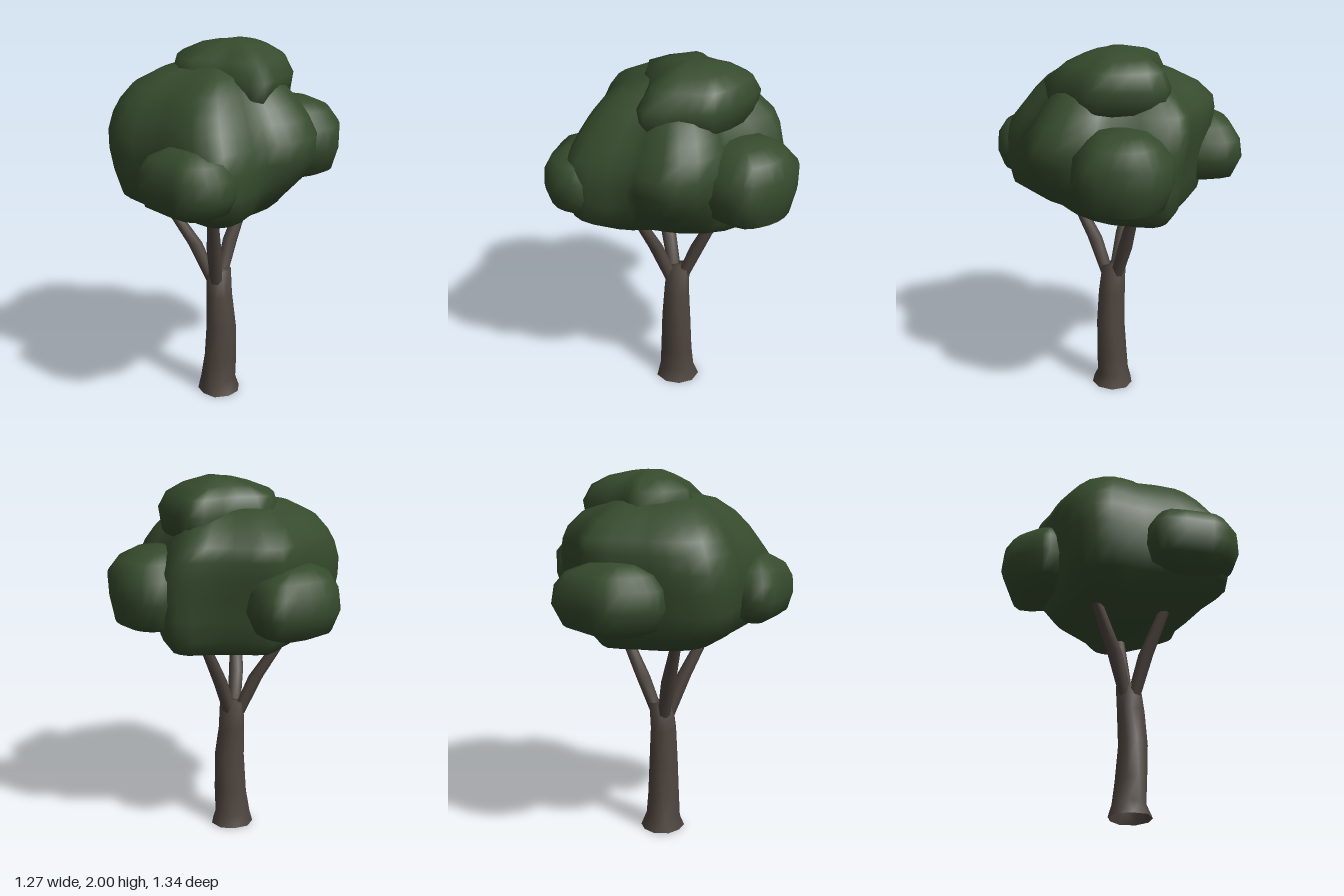
import * as THREE from 'three';
import { mergeVertices } from 'three/addons/utils/BufferGeometryUtils.js';

const V = (x, y, z) => new THREE.Vector3(x, y, z);

// Closed skin over equally sized rings of points, listed from bottom to top
function skin(rings) {
  const n = rings[0].length, index = [];
  for (let i = 0; i < rings.length - 1; i++) {
    for (let j = 0; j < n; j++) {
      const a = i * n + j, b = i * n + (j + 1) % n;
      index.push(a, a + n, b, b, a + n, b + n);
    }
  }
  let geo = new THREE.BufferGeometry().setFromPoints(rings.flat());
  geo.setIndex(index);
  geo = mergeVertices(geo, 1e-5);
  geo.computeVertexNormals();
  return geo;
}

// Horizontal ring around a centre, turned a little for a gnarled look
function ring(x, y, z, rx, rz, sides, turn, wobble = 0) {
  return Array.from({ length: sides }, (_, j) => {
    const t = j / sides * Math.PI * 2 + turn;
    const k = 1 + wobble * Math.sin(j * 2.4 + 1);
    return V(x + Math.cos(t) * rx * k, y, z + Math.sin(t) * rz * k);
  });
}

// Leaf mass: plan outline (x, z) shrunk towards its centre at each level.
// A level is y, the scale towards +x, -x, +z and -z (one scale serves all),
// and an optional undercut of the +x +z corner.
function leafMass([cx, cz], plan, levels, sides) {
  const curve = new THREE.CatmullRomCurve3(plan.map(([x, z]) => V(x - cx, 0, z - cz)), true);
  const outline = curve.getPoints(sides).slice(0, sides);
  return skin(levels.map(([y, px, nx = px, pz = px, nz = px, cut = 0]) => outline.map((p) => {
    const corner = p.x > 0 && p.z > 0 ? 2 * p.x * p.z / p.lengthSq() : 0;
    const k = 1 - cut * corner;
    return V(cx + p.x * k * (p.x > 0 ? px : nx), y, cz + p.z * k * (p.z > 0 ? pz : nz));
  })));
}

export function createModel() {
  const group = new THREE.Group();
  const bark = new THREE.MeshStandardMaterial({ color: 0x4e453f, side: THREE.DoubleSide });
  bark.name = 'bark brown';
  const leaf = new THREE.MeshStandardMaterial({ color: 0x364b2d });
  leaf.name = 'leaf green';
  const add = (name, geo, mat) => {
    const mesh = new THREE.Mesh(geo, mat);
    mesh.name = name;
    group.add(mesh);
  };

  // Trunk, flared and open at the foot: x, y, z, rx, rz
  const trunk = [
    [-0.07, 0, 0.025, 0.115, 0.118], [-0.075, 0.07, 0.022, 0.096, 0.09],
    [-0.067, 0.2, 0.03, 0.09, 0.085], [-0.062, 0.4, 0.037, 0.084, 0.079],
    [-0.07, 0.58, 0.028, 0.073, 0.074], [-0.068, 0.73, 0.015, 0.066, 0.066],
    [-0.068, 0.735, 0.015, 0, 0],
  ];
  add('trunk', skin(trunk.map(([x, y, z, rx, rz], i) =>
    ring(x, y, z, rx, rz, 9, i * 0.18, 0.05))), bark);

  // Three branches rising into the crown
  const branches = {
    rightBranch: [[-0.1, 0.66, 0.01], [-0.19, 0.88, -0.03], [-0.32, 1.1, -0.09], [-0.4, 1.25, -0.13]],
    frontBranch: [[-0.09, 0.66, 0.05], [-0.13, 0.88, 0.125], [-0.17, 1.1, 0.235], [-0.18, 1.25, 0.3]],
    leftBranch: [[-0.045, 0.68, 0.0], [0.02, 0.87, -0.045], [0.125, 1.1, -0.09], [0.18, 1.25, -0.12]],
  };
  const widths = [0.036, 0.041, 0.031, 0.024];
  for (const [name, path] of Object.entries(branches)) {
    add(name, skin(path.map(([x, y, z], i) =>
      ring(x, y, z, widths[i], widths[i], 7, i * 0.25))), bark);
  }

  // Main crown, leaning back as it rises and undercut at the front left
  add('mainCrown', leafMass([-0.08, 0.02], [
    [0.37, 0.02], [0.41, 0.2], [0.34, 0.43], [0.17, 0.5], [0.04, 0.5], [-0.14, 0.59],
    [-0.3, 0.6], [-0.41, 0.44], [-0.5, 0.22], [-0.62, 0.06], [-0.63, -0.12], [-0.5, -0.28],
    [-0.36, -0.38], [-0.15, -0.53], [0.02, -0.48], [0.2, -0.4], [0.35, -0.37], [0.42, -0.27],
  ], [
    [1.07, 0], [1.08, 0.36, 0.3, 0.3, 0.3, 0.3], [1.115, 0.82, 0.62, 0.68, 0.73, 0.34],
    [1.2, 0.95, 0.89, 0.95, 0.85, 0.32], [1.32, 1, 0.96, 1, 0.88, 0.16],
    [1.44, 1, 1, 1, 0.92, 0.05], [1.54, 0.97, 1, 0.95, 0.97], [1.63, 0.9, 0.95, 0.83, 0.99],
    [1.7, 0.81, 0.88, 0.74, 0.97], [1.78, 0.68, 0.76, 0.61, 0.82],
    [1.85, 0.47, 0.52, 0.45, 0.57], [1.885, 0.22], [1.89, 0],
  ], 36), leaf);

  // Smaller masses around the crown
  add('topClump', leafMass([0.03, 0], [
    [0.31, 0.13], [0.2, 0.25], [0.03, 0.38], [-0.12, 0.2], [-0.29, 0.04], [-0.19, -0.26],
    [0, -0.23], [0.24, -0.28], [0.31, -0.12],
  ], [
    [1.62, 0], [1.65, 0.6], [1.71, 0.94], [1.83, 1], [1.915, 0.88, 0.94, 0.72, 0.86],
    [1.965, 0.6, 0.55, 0.45, 0.6], [1.99, 0.27], [2, 0],
  ], 20), leaf);
  add('leftClump', leafMass([0.35, -0.04], [
    [0.42, -0.31], [0.52, -0.28], [0.6, -0.19], [0.63, -0.05], [0.6, 0.1], [0.55, 0.19],
    [0.4, 0.235], [0.2, 0.2], [0.12, -0.04], [0.2, -0.25],
  ], [
    [1.225, 0], [1.235, 0.65, 0.65, 0.5, 0.55], [1.27, 0.88, 0.88, 0.74, 0.8], [1.4, 0.97],
    [1.52, 1, 1, 0.92, 0.96], [1.6, 0.8, 0.8, 0.66, 0.72], [1.645, 0.45], [1.66, 0],
  ], 20), leaf);
  add('backClump', leafMass([-0.25, -0.42], [
    [-0.05, -0.25], [-0.3, -0.2], [-0.51, -0.3], [-0.5, -0.42], [-0.41, -0.6],
    [-0.21, -0.66], [-0.03, -0.66], [0.02, -0.45],
  ], [
    [1.2, 0], [1.215, 0.4], [1.26, 0.82], [1.37, 1], [1.47, 0.95], [1.54, 0.77],
    [1.585, 0.4], [1.595, 0],
  ], 20), leaf);
  add('frontClump', leafMass([-0.35, 0.42], [
    [-0.14, 0.35], [-0.13, 0.52], [-0.18, 0.62], [-0.31, 0.67], [-0.45, 0.62], [-0.51, 0.52],
    [-0.595, 0.32], [-0.5, 0.22], [-0.3, 0.2],
  ], [
    [1.19, 0], [1.2, 0.45], [1.25, 0.87], [1.34, 1], [1.43, 0.98], [1.5, 0.8],
    [1.55, 0.4], [1.56, 0],
  ], 20), leaf);

  return group;
}
